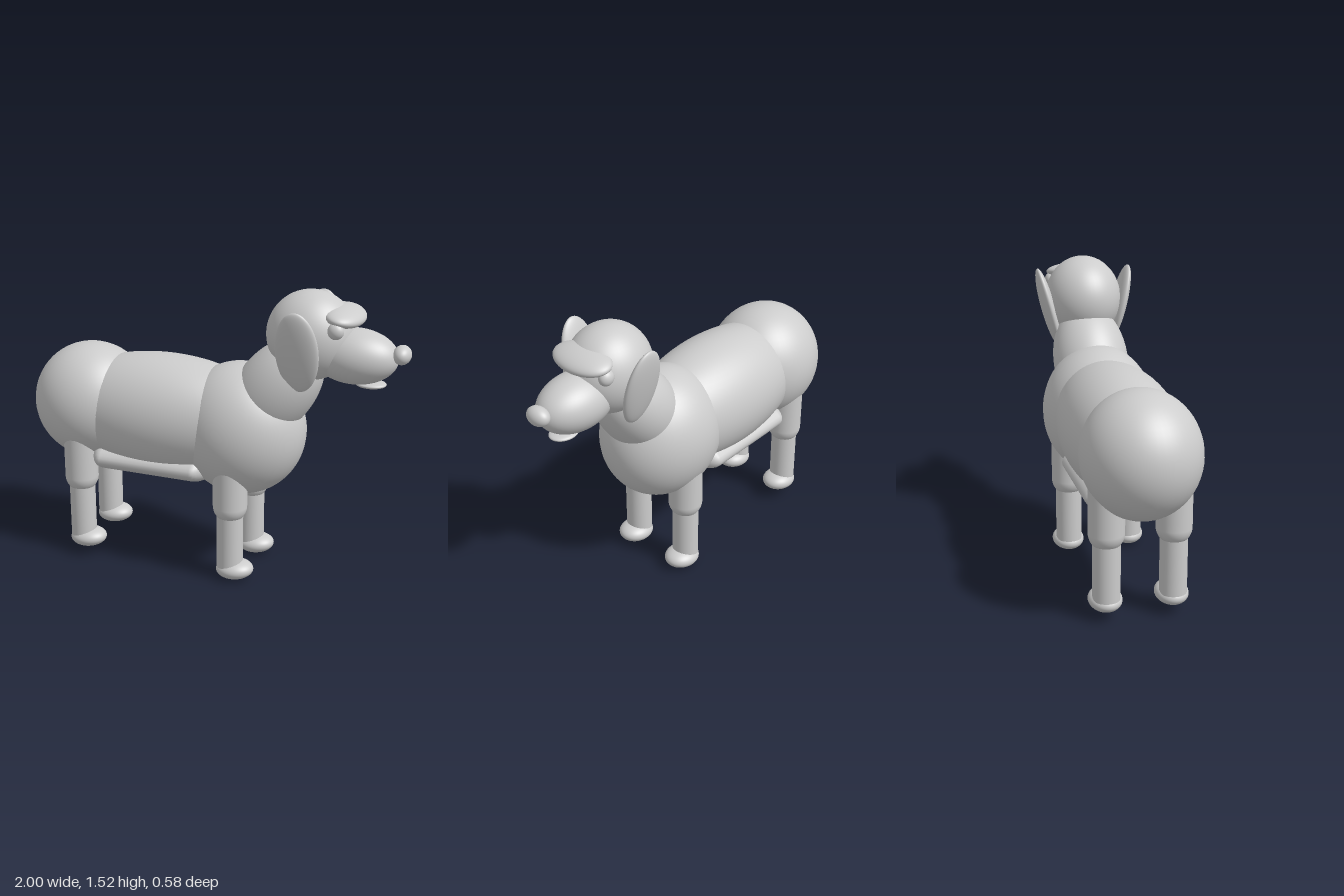
import * as THREE from 'three';

const coat = new THREE.MeshStandardMaterial({ color: 0xcccccc });
coat.name = 'light grey';

const ball = new THREE.SphereGeometry(1, 48, 32);

export function createModel() {
  const model = new THREE.Group();
  model.name = 'dog';

  const add = (name, geometry, x, y, z, parent = model) => {
    const mesh = new THREE.Mesh(geometry, coat);
    mesh.name = name;
    mesh.position.set(x, y, z);
    parent.add(mesh);
    return mesh;
  };
  const ellipsoid = (name, [x, y, z], [rx, ry, rz], tilt = 0, parent = model) => {
    const mesh = add(name, ball, x, y, z, parent);
    mesh.scale.set(rx, ry, rz);
    mesh.rotation.z = tilt;
    return mesh;
  };

  // Torso
  ellipsoid('hips', [-0.69, 0.82, 0], [0.31, 0.31, 0.29]);
  ellipsoid('barrel', [-0.27, 0.803, 0], [0.62, 0.31, 0.29]);
  ellipsoid('chest', [0.15, 0.773, 0], [0.335, 0.345, 0.29]);
  const belly = add('belly', new THREE.CapsuleGeometry(0.09, 0.5, 12, 40), -0.3, 0.57, 0);
  belly.rotation.z = Math.PI / 2;
  belly.scale.z = 0.24 / 0.09;

  // Neck and head
  ellipsoid('neck', [0.325, 1.0, 0], [0.32, 0.195, 0.198], 0.92);
  ellipsoid('head', [0.505, 1.303, 0], [0.222, 0.222, 0.2]);
  ellipsoid('muzzle', [0.725, 1.22, 0], [0.215, 0.137, 0.145]);
  ellipsoid('nose', [0.955, 1.25, 0], [0.045, 0.047, 0.063]);
  ellipsoid('lip', [0.81, 1.088, 0], [0.077, 0.018, 0.062]);
  ellipsoid('brow', [0.67, 1.418, 0], [0.1, 0.045, 0.165], -0.2);

  // Ears and eyes, mirrored
  for (const side of [1, -1]) {
    ellipsoid('eye', [0.665, 1.373, side * 0.143], [0.04, 0.04, 0.033]);
    const ear = ellipsoid('ear', [0.493, 1.262, side * 0.195], [0.108, 0.215, 0.035]);
    ear.rotation.x = side * 0.25;
  }

  // Legs: thigh capsule, shin and paw
  const thigh = new THREE.CapsuleGeometry(0.088, 0.22, 12, 32);
  const shin = new THREE.CylinderGeometry(0.068, 0.068, 0.36, 32);
  for (const [name, x, y] of [['frontLeg', 0.15, 0], ['hindLeg', -0.69, 0.04]]) {
    for (const side of [1, -1]) {
      const leg = new THREE.Group();
      leg.name = name;
      leg.position.set(x, y, side * 0.165);
      add('upperLeg', thigh, 0, 0.515, 0, leg);
      add('lowerLeg', shin, 0, 0.245, 0, leg);
      ellipsoid('paw', [0.027, 0.052, 0], [0.099, 0.051, 0.083], 0.08, leg);
      model.add(leg);
    }
  }
  return model;
}
